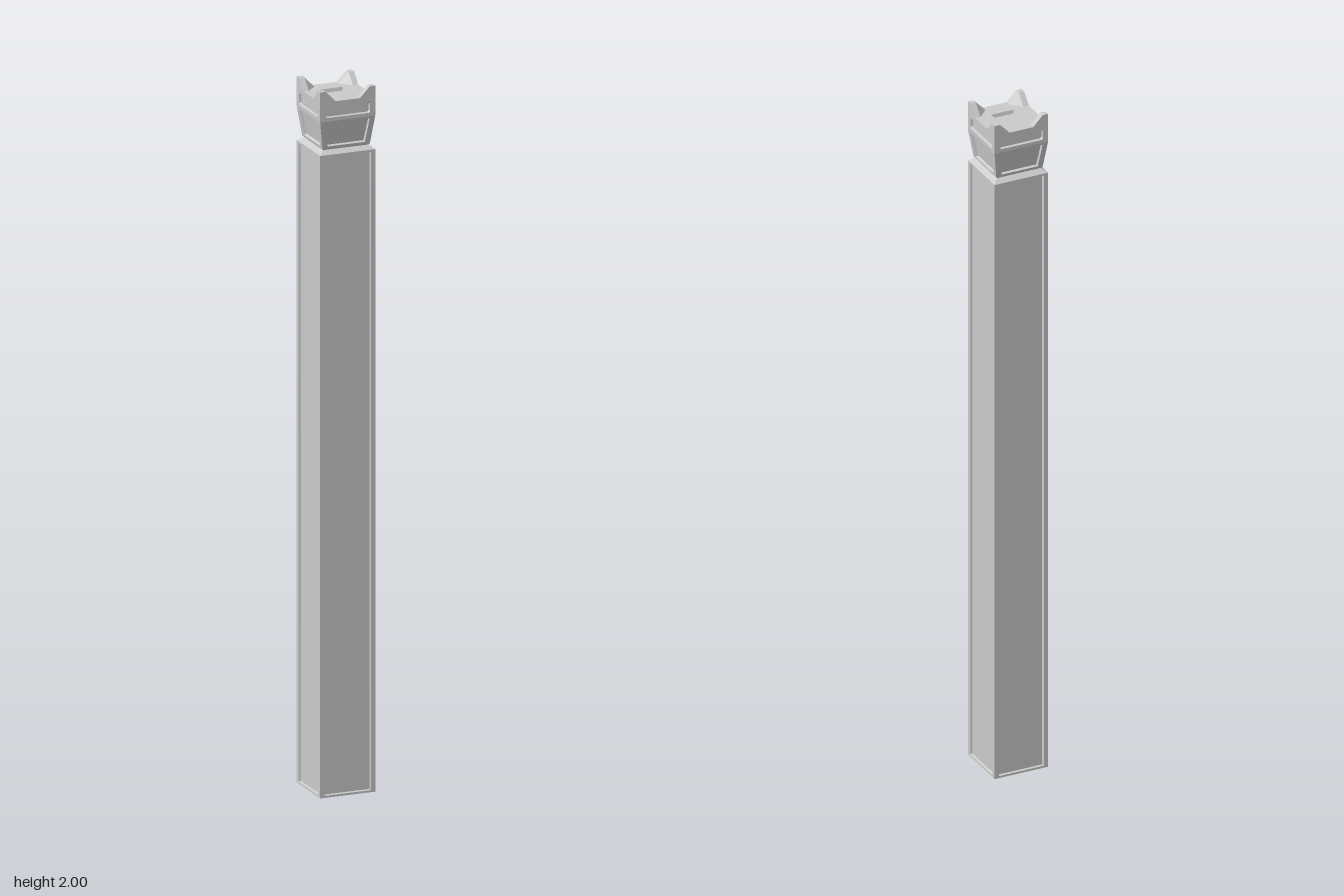
import * as THREE from 'three';

const W = 0.081; // half width of the pillar
const material = new THREE.MeshStandardMaterial({ color: 0xcccccc, flatShading: true, side: THREE.DoubleSide });

// Flat-shaded geometry from convex polygons (corners counter-clockwise from outside)
function facets(polygons) {
  const out = [];
  for (const p of polygons)
    for (let i = 1; i < p.length - 1; i++) out.push(...p[0], ...p[i], ...p[i + 1]);
  const g = new THREE.BufferGeometry();
  g.setAttribute('position', new THREE.Float32BufferAttribute(out, 3));
  g.computeVertexNormals();
  return g;
}

// Strips between successive loops, closed by the last loop
function loft(loops) {
  const polys = [];
  for (let k = 0; k < loops.length - 1; k++) {
    const a = loops[k], b = loops[k + 1];
    a.forEach((p, i) => {
      const j = (i + 1) % a.length;
      polys.push([p, a[j], b[j], b[i]]);
    });
  }
  polys.push(loops[loops.length - 1]);
  return polys;
}

// Trapezoid on the front side: half widths, heights and depths at its bottom and top
const trapezoid = (x0, y0, z0, x1, y1, z1) =>
  [[-x0, y0, z0], [x0, y0, z0], [x1, y1, z1], [-x1, y1, z1]];

// Rectangle with cut corners, as 2D points
function cutRect(x, y0, y1, c) {
  return [[-x + c, y0], [x - c, y0], [x, y0 + c], [x, y1 - c],
    [x - c, y1], [-x + c, y1], [-x, y1 - c], [-x, y0 + c]];
}

const toVectors = (pts) => pts.map(([x, y]) => new THREE.Vector2(x, y));

export function createModel() {
  const model = new THREE.Group();
  model.name = 'pillar';

  // Repeat a geometry on all four sides
  const fourSides = (name, geometry) => {
    const group = new THREE.Group();
    group.name = name;
    for (let i = 0; i < 4; i++) {
      const mesh = new THREE.Mesh(geometry, material);
      mesh.name = name + 'Side';
      mesh.rotation.y = i * Math.PI / 2;
      group.add(mesh);
    }
    model.add(group);
  };

  // Hollow shaft: framed, recessed panel on each side
  fourSides('shaft', facets([
    ...loft([
      trapezoid(W, 0, W, W, 1.82, W),
      trapezoid(0.068, 0.006, W, 0.068, 1.814, W),
      trapezoid(0.066, 0.008, 0.075, 0.066, 1.812, 0.075),
    ]),
    [[-0.074, 0, 0.074], [0.074, 0, 0.074], [W, 0, W], [-W, 0, W]],
  ]));

  // Sloping shoulder and shallow groove under the capital
  fourSides('shoulder', facets([
    trapezoid(W, 1.82, W, 0.066, 1.831, 0.066),
    trapezoid(0.066, 1.831, 0.066, 0.07, 1.835, 0.07),
  ]));

  // Flared lower capital with a recessed trapezoid panel
  fourSides('capital', facets(loft([
    trapezoid(0.07, 1.835, 0.07, W, 1.915, W),
    trapezoid(0.055, 1.841, 0.0708, 0.065, 1.909, 0.0802),
    trapezoid(0.053, 1.844, 0.064, 0.063, 1.906, 0.073),
  ])));

  // Upright crown face, its notched outline pierced by a slot
  const slot = cutRect(0.066, 1.925, 1.956, 0.004);
  const crown = new THREE.Shape(toVectors([
    [-W, 1.915], [W, 1.915], [W, 2], [0.065, 2],
    [0.036, 1.97], [-0.036, 1.97], [-0.065, 2], [-W, 2],
  ]));
  crown.holes.push(new THREE.Path(toVectors(slot).reverse()));
  fourSides('crownFace', new THREE.ShapeGeometry(crown).translate(0, 0, W));

  // Recess behind the slot
  const inner = cutRect(0.064, 1.927, 1.954, 0.004);
  fourSides('slotRecess', facets(loft([
    slot.map(([x, y]) => [x, y, W]),
    inner.map(([x, y]) => [x, y, 0.074]),
  ])));

  // Corner horns: flat tip with three slopes down to the top
  const tip = [0.065, 2, 0.065], tipZ = [0.065, 2, W], tipX = [W, 2, 0.065];
  const baseZ = [0.036, 1.97, 0.065], baseX = [0.065, 1.97, 0.036];
  fourSides('horn', facets([
    [tipZ, [W, 2, W], tipX, tip],
    [tipZ, tip, baseZ, [0.036, 1.97, W]],
    [tip, baseX, baseZ],
    [tip, tipX, [W, 1.97, 0.036], baseX],
  ]));

  // Top deck between the horns, with a square opening
  const quarter = [[W, 0.036], [0.065, 0.036], [0.036, 0.065], [0.036, W]];
  const outline = [];
  for (let i = 0, c = 1, s = 0; i < 4; i++, [c, s] = [-s, c])
    quarter.forEach(([x, y]) => outline.push([c * x - s * y, s * x + c * y]));
  const deckShape = new THREE.Shape(toVectors(outline));
  const r = 0.034;
  deckShape.holes.push(new THREE.Path(toVectors([[-r, -r], [-r, r], [r, r], [r, -r]])));
  const deck = new THREE.Mesh(
    new THREE.ShapeGeometry(deckShape).rotateX(-Math.PI / 2).translate(0, 1.97, 0), material);
  deck.name = 'topDeck';
  model.add(deck);

  // Square recess in the deck
  const square = (h, y) => [[-h, y, h], [h, y, h], [h, y, -h], [-h, y, -h]];
  const recess = new THREE.Mesh(facets(loft([square(r, 1.97), square(0.031, 1.96)])), material);
  recess.name = 'topRecess';
  model.add(recess);

  return model;
}
